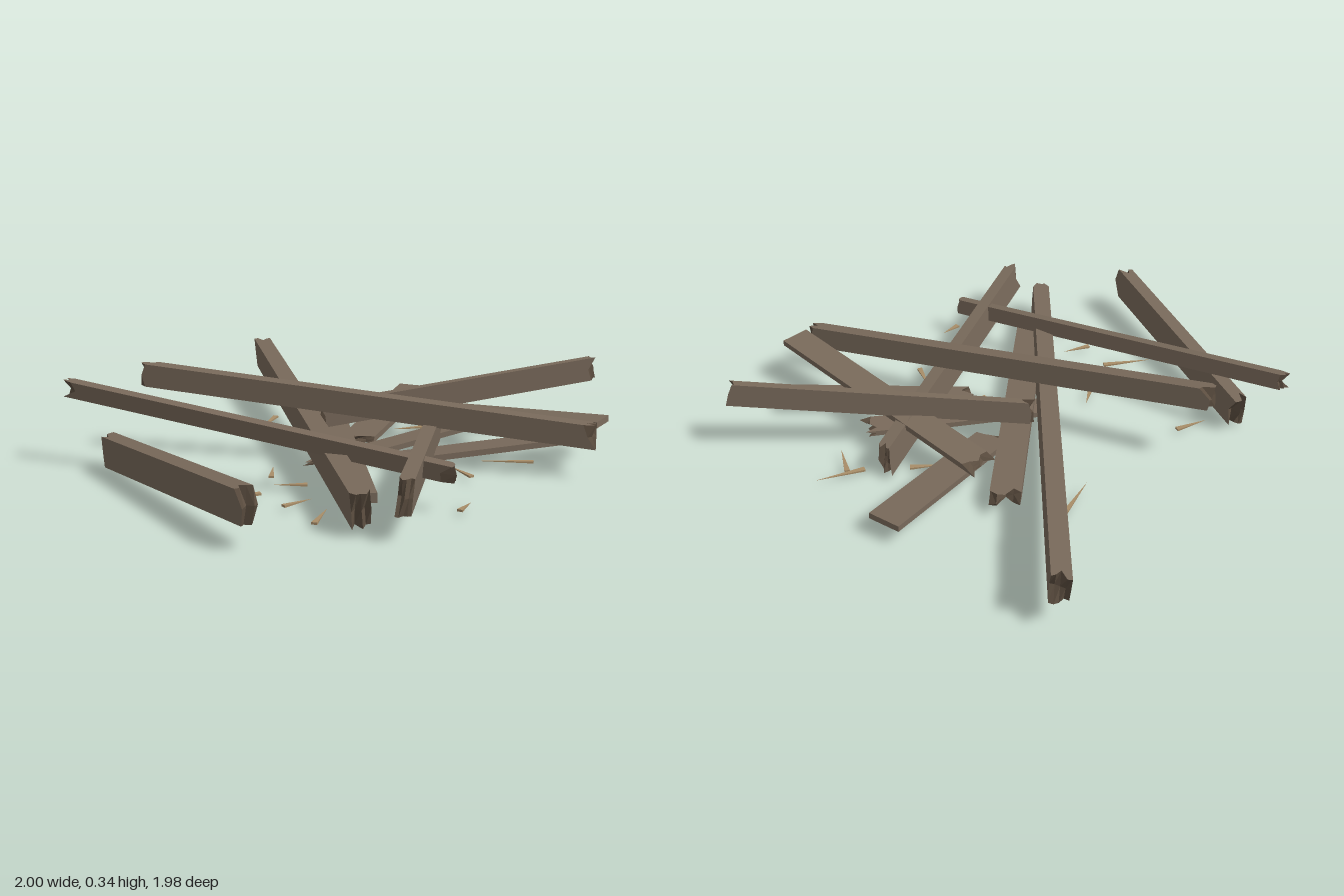
import * as THREE from 'three';

// small seeded random
function seeded(seed) {
  let s = seed * 7919 + 17;
  return () => {
    s = (s * 16807) % 2147483647;
    return s / 2147483647;
  };
}

// box along z whose ends are splintered: each end vertex is pulled inward by its own amount
function brokenBox(w, h, len, seed, jagBack, jagFront) {
  const geo = new THREE.BoxGeometry(w, h, len, 4, 2, 1);
  const rnd = seeded(seed);
  for (let i = 0; i < 5; i++) rnd();
  const pull = {};
  const p = geo.attributes.position;
  for (let i = 0; i < p.count; i++) {
    const x = p.getX(i), y = p.getY(i), z = p.getZ(i);
    const depth = z > 0 ? jagFront : jagBack;
    const key = [Math.round((x / w) * 4), Math.round((y / h) * 2), Math.sign(z)].join();
    if (!(key in pull)) pull[key] = rnd();
    p.setZ(i, z - Math.sign(z) * depth * pull[key]);
  }
  geo.computeVertexNormals();
  return geo;
}

export function createModel() {
  const group = new THREE.Group();
  const wood = new THREE.MeshStandardMaterial({ color: 0x78695a, flatShading: true });
  wood.name = 'weathered wood';
  const core = new THREE.MeshStandardMaterial({ color: 0x5c4e40, flatShading: true });
  core.name = 'broken wood core';
  const pale = new THREE.MeshStandardMaterial({ color: 0xa88d68, flatShading: true });
  pale.name = 'pale splinter wood';

  // place a piece with its z axis from a to b
  function span(mesh, a, b, roll = 0) {
    const z = b.clone().sub(a).normalize();
    const x = new THREE.Vector3(0, 1, 0).cross(z).normalize();
    const y = z.clone().cross(x);
    mesh.quaternion.setFromRotationMatrix(new THREE.Matrix4().makeBasis(x, y, z));
    mesh.rotateZ(roll);
    mesh.position.copy(a).add(b).multiplyScalar(0.5);
    group.add(mesh);
  }

  // timbers: name, start, end, width, height, jag at start, jag at end, roll
  const J = 0.06;
  const timbers = [
    ['longBeam', [-0.28, 0.175, -0.995], [-0.018, 0.09, 0.905], 0.066, 0.115, J, J, 0.06],
    ['crossBeam', [-0.74, 0.302, -0.08], [0.85, 0.155, 0.38], 0.05, 0.085, J, J, 0.06],
    ['slimBeam', [-1.0, 0.292, 0.065], [0.31, 0.137, 0.705], 0.038, 0.06, J, J, 0.12],
    ['frontBeam', [0.095, 0.15, 0.98], [0.415, 0.08, -0.32], 0.048, 0.115, J, J, 0.08],
    ['raisedBeam', [-0.1, 0.14, -0.018], [1.0, 0.26, -0.205], 0.03, 0.09, J, J, 0.03],
    ['outlyingBeam', [-0.85, 0.08, 0.145], [-0.355, 0.148, 0.99], 0.056, 0.115, J, J, 0.08],
    ['centreBoard', [-0.04, 0.068, -0.47], [-0.005, 0.058, 0.68], 0.11, 0.035, 0.08, 0, 0],
    ['backBoard', [0.03, 0.032, -0.01], [0.345, 0.085, -0.63], 0.125, 0.022, 0.08, 0, 0],
    ['lowBoard', [-0.15, 0.014, 0.205], [0.54, 0.085, -0.12], 0.095, 0.02, 0.08, 0.06, 0],
    ['sideBoard', [0.15, 0.035, 0.2], [0.88, 0.07, 0.075], 0.1, 0.022, 0.08, 0, 0],
    ['upperBoard', [0.04, 0.113, -0.335], [0.885, 0.185, 0.3], 0.112, 0.022, 0.08, 0, 0],
  ];
  timbers.forEach(([name, a, b, w, h, jagA, jagB, roll], i) => {
    const start = new THREE.Vector3(...a), end = new THREE.Vector3(...b);
    const geo = brokenBox(w, h, start.distanceTo(end), i + 1, jagA, jagB);
    const mesh = new THREE.Mesh(geo, [wood, wood, wood, wood, jagB ? core : wood, jagA ? core : wood]);
    mesh.name = name;
    span(mesh, start, end, roll);
  });

  // loose splinters on the ground: base x, z, tip x, z
  const splinters = [
    [-0.24, -0.45, -0.31, -0.26], [0.33, -0.25, 0.2, -0.22], [0.49, -0.28, 0.65, -0.37],
    [0.55, -0.3, 0.6, -0.18], [-0.62, 0.1, -0.73, 0.17], [-0.28, 0.33, -0.27, 0.22],
    [-0.16, 0.42, -0.28, 0.42], [-0.32, 0.5, -0.51, 0.56], [-0.25, 0.63, -0.15, 0.57],
    [-0.16, 0.8, -0.11, 0.67], [0.31, 0.72, 0.36, 0.65], [0.41, 0.38, 0.35, 0.26],
    [0.42, 0.04, 0.35, 0.1], [0.66, 0.23, 0.45, 0.21], [0.12, 0.22, 0.2, 0.14],
  ];
  splinters.forEach(([x0, z0, x1, z1], i) => {
    const a = new THREE.Vector3(x0, 0.022, z0), b = new THREE.Vector3(x1, 0.024, z1);
    const geo = new THREE.ConeGeometry(0.014, a.distanceTo(b), 4);
    geo.rotateY(Math.PI / 4).rotateX(Math.PI / 2).scale(1, 0.4, 1);
    const mesh = new THREE.Mesh(geo, pale);
    mesh.name = 'splinter' + (i + 1);
    span(mesh, a, b);
  });

  return group;
}
